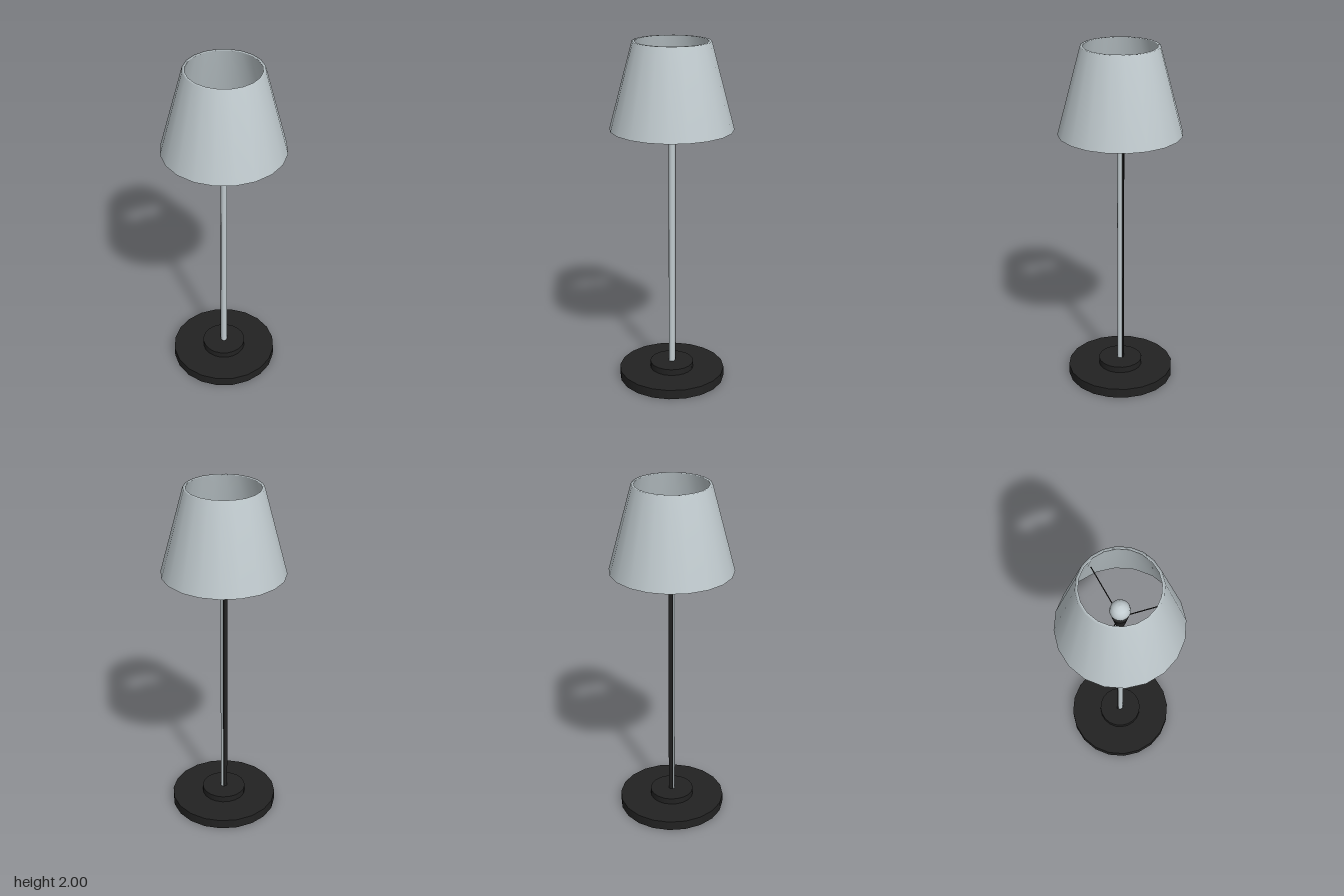
import * as THREE from 'three';

const SIDES = 20;
const lightGrey = new THREE.MeshStandardMaterial({ name: 'light grey', color: 0xc2ccd0 });
const black = new THREE.MeshStandardMaterial({ name: 'black', color: 0x222222 });

export function createModel() {
  const lamp = new THREE.Group();
  lamp.name = 'tableLamp';

  const add = (name, geometry, material, x = 0, y = 0, z = 0) => {
    const mesh = new THREE.Mesh(geometry, material);
    mesh.name = name;
    mesh.position.set(x, y, z);
    lamp.add(mesh);
    return mesh;
  };
  // Upright cylinder or cone between two heights
  const column = (name, rTop, rBottom, y0, y1, material, sides = SIDES) =>
    add(name, new THREE.CylinderGeometry(rTop, rBottom, y1 - y0, sides), material, 0, (y0 + y1) / 2, 0);
  const lathe = (pairs) =>
    new THREE.LatheGeometry(pairs.map(([r, y]) => new THREE.Vector2(r, y)), SIDES);

  // Stepped foot
  column('base', 0.31, 0.31, 0, 0.056, black);
  column('baseStep', 0.128, 0.128, 0.056, 0.093, black);

  // Pole with a dark cable channel down its back
  column('pole', 0.018, 0.018, 0.093, 1.56, lightGrey, 12);
  add('cableChannel', new THREE.BoxGeometry(0.024, 1.46, 0.01), black, 0, 0.825, -0.015);

  // Tapered socket and bulb
  column('socket', 0.045, 0.026, 1.55, 1.655, black);
  add('bulb', lathe([
    [0.03, 1.65], [0.034, 1.665], [0.046, 1.685], [0.055, 1.715],
    [0.05, 1.742], [0.036, 1.762], [0.018, 1.771], [0, 1.774],
  ]), lightGrey);

  // Three struts rising from the socket to the shade
  const up = new THREE.Vector3(0, 1, 0);
  for (let i = 0; i < 3; i++) {
    const a = (i * Math.PI * 2) / 3;
    const point = (r, y) => new THREE.Vector3(Math.sin(a) * r, y, Math.cos(a) * r);
    const start = point(0.03, 1.645);
    const end = point(0.262, 1.77);
    const strut = add('shadeStrut', new THREE.CylinderGeometry(0.003, 0.003, start.distanceTo(end), 6), black);
    strut.position.copy(start).lerp(end, 0.5);
    strut.quaternion.setFromUnitVectors(up, end.clone().sub(start).normalize());
  }

  // Thick-walled open shade, softly shaded over its rims
  add('shade', lathe([
    [0.202, 2], [0.331, 1.515], [0.347, 1.515], [0.217, 2], [0.202, 2],
  ]), lightGrey);

  return lamp;
}
